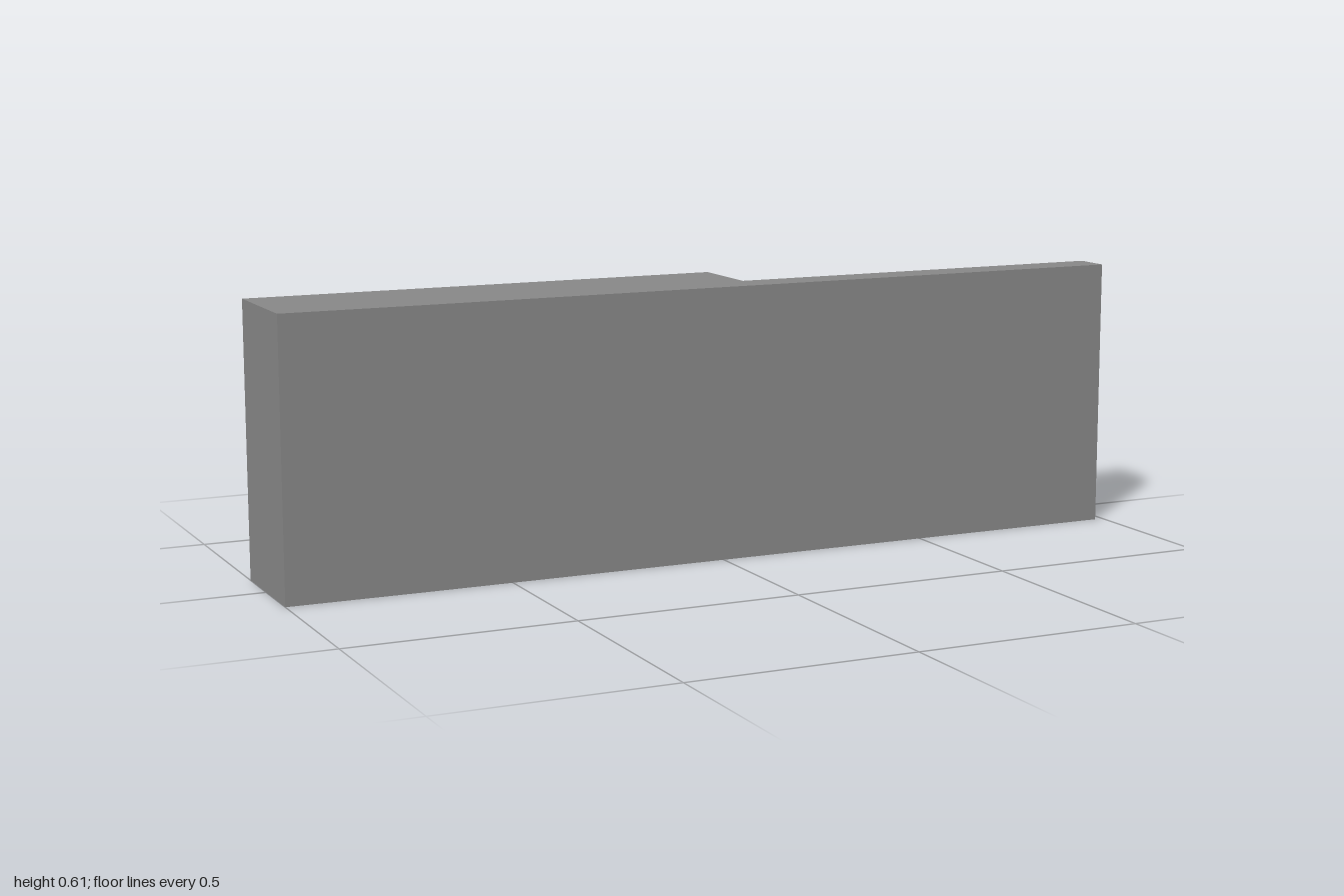
import * as THREE from 'three';

const wallMaterial = new THREE.MeshStandardMaterial({ color: 0x888888, flatShading: true });
const trimMaterial = new THREE.MeshStandardMaterial({ color: 0x585858, flatShading: true });

// Box given by its lower and upper corners
function addBox(parent, name, material, [x0, y0, z0], [x1, y1, z1]) {
  const mesh = new THREE.Mesh(new THREE.BoxGeometry(x1 - x0, y1 - y0, z1 - z0), material);
  mesh.position.set((x0 + x1) / 2, (y0 + y1) / 2, (z0 + z1) / 2);
  mesh.name = name;
  parent.add(mesh);
}

export function createModel() {
  const model = new THREE.Group();
  model.name = 'steppedWall';

  // Wall: stepped plan outline [x, z] raised to full height
  const plan = [[-1, 0.64], [-0.7, 0.643], [0.98, 0.645], [0.98, 0.562], [0.085, 0.562], [0.085, 0.382], [-1, 0.382]];
  const shape = new THREE.Shape(plan.map(([x, z]) => new THREE.Vector2(x, -z)));
  const geometry = new THREE.ExtrudeGeometry(shape, { depth: 0.608, bevelEnabled: false });
  geometry.rotateX(-Math.PI / 2);
  const wall = new THREE.Mesh(geometry, wallMaterial);
  wall.name = 'wall';
  model.add(wall);

  // Thin dark trim along the top and bottom of the back, step and recess
  for (const [name, y0, y1] of [['bottomTrim', 0.003, 0.02], ['topTrim', 0.585, 0.597]]) {
    const trim = new THREE.Group();
    trim.name = name;
    addBox(trim, 'backTrim', trimMaterial, [-0.999, y0, 0.38], [0.087, y1, 0.384]);
    addBox(trim, 'stepTrim', trimMaterial, [0.083, y0, 0.384], [0.087, y1, 0.56]);
    addBox(trim, 'recessTrim', trimMaterial, [0.083, y0, 0.56], [0.93, y1, 0.564]);
    model.add(trim);
  }

  // Upright post behind the thin end
  addBox(model, 'endPost', wallMaterial, [0.915, 0.002, 0.495], [1, 0.598, 0.575]);

  return model;
}
